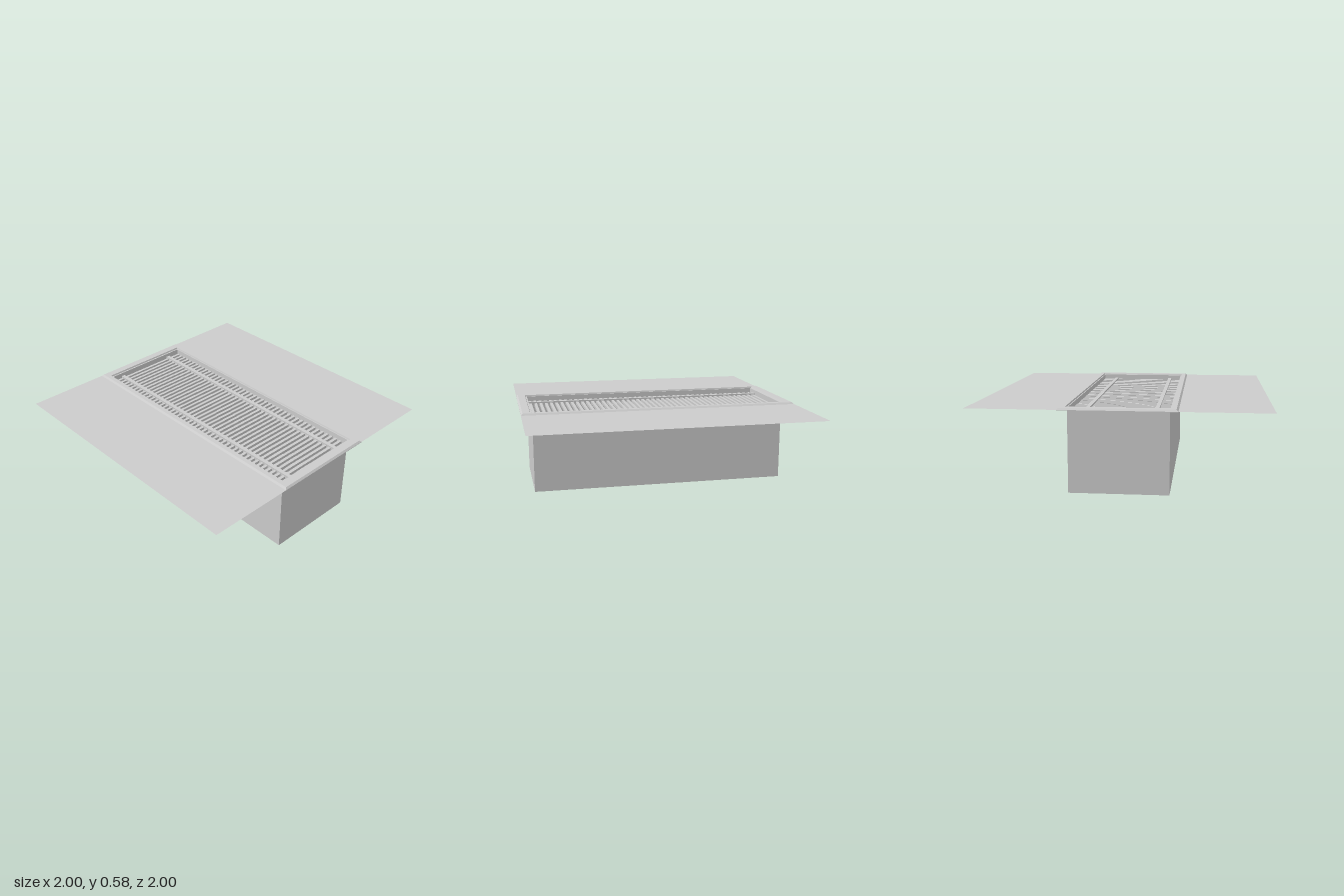
import * as THREE from 'three';

const material = new THREE.MeshStandardMaterial({ color: 0xcccccc, flatShading: true, side: THREE.DoubleSide });
const smooth = new THREE.MeshStandardMaterial({ color: 0xcccccc });

// Sweeps a list of [halfWidth, halfLength, y] rectangles into a four-sided shell
function rectangularShell(rings) {
  const positions = [], index = [];
  for (const [w, l, y] of rings) positions.push(-w, y, l, w, y, l, w, y, -l, -w, y, -l);
  for (let r = 0; r < rings.length - 1; r++) {
    for (let i = 0; i < 4; i++) {
      const a = r * 4 + i, b = r * 4 + (i + 1) % 4;
      index.push(a, b, b + 4, a, b + 4, a + 4);
    }
  }
  const geometry = new THREE.BufferGeometry();
  geometry.setAttribute('position', new THREE.Float32BufferAttribute(positions, 3));
  geometry.setIndex(index);
  const flat = geometry.toNonIndexed();
  flat.computeVertexNormals();
  return flat;
}

export function createModel() {
  const group = new THREE.Group();
  const add = (name, geometry, x, y, z, mat = material) => {
    const mesh = new THREE.Mesh(geometry, mat);
    mesh.name = name;
    mesh.position.set(x, y, z);
    group.add(mesh);
    return mesh;
  };

  // Open trench: four walls and a floor
  add('trenchWalls', rectangularShell([[0.335, 0.92, 0], [0.335, 0.92, 0.57]]), 0, 0, 0);
  add('trenchFloor', new THREE.PlaneGeometry(0.67, 1.84), 0, 0, 0).rotation.x = -Math.PI / 2;

  // Rim with bevelled outer edge and a shallow inner ledge
  add('rim', rectangularShell([
    [0.335, 0.92, 0.565], [0.39, 1, 0.565], [0.39, 1, 0.568], [0.378, 0.988, 0.58],
    [0.345, 0.935, 0.58], [0.342, 0.93, 0.57], [0.335, 0.92, 0.57],
  ]), 0, 0, 0);

  // Floor sheets on both sides
  for (const side of [-1, 1]) {
    const plate = add(side > 0 ? 'leftFloorPlate' : 'rightFloorPlate',
      new THREE.PlaneGeometry(0.615, 2), side * 0.6925, 0.568, 0);
    plate.rotation.x = -Math.PI / 2;
  }

  // Grille: cross slats carrying two long rails
  const slats = 46, pitch = 1.84 / slats;
  const slatGeometry = new THREE.BoxGeometry(0.67, 0.02, 0.02);
  for (let i = 0; i < slats; i++) {
    add('grilleSlat', slatGeometry, 0, 0.525, -0.92 + (i + 0.5) * pitch);
  }
  for (const x of [-0.24, 0.23]) {
    add('grilleRail', new THREE.BoxGeometry(0.028, 0.03, 1.84), x, 0.53, 0);
  }

  // Two pipes with collars running inside the trench
  for (const x of [-0.19, 0.13]) {
    add('pipe', new THREE.CylinderGeometry(0.07, 0.07, 1.84, 24), x, 0.3, 0, smooth).rotation.x = Math.PI / 2;
    for (const z of [-0.47, 0.53]) {
      add('pipeCollar', new THREE.CylinderGeometry(0.09, 0.09, 0.03, 24), x, 0.3, z, smooth).rotation.x = Math.PI / 2;
    }
  }
  return group;
}
